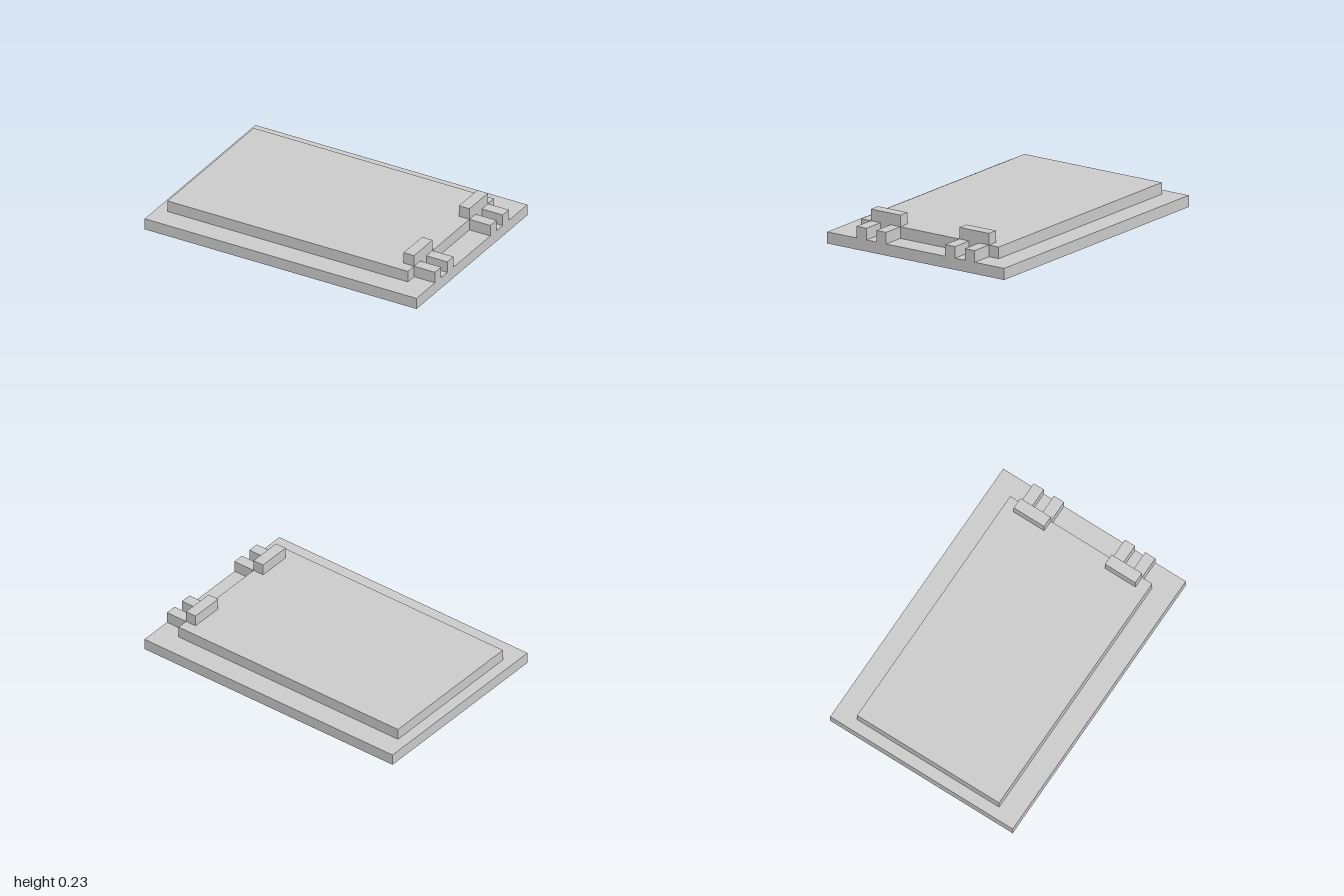
import * as THREE from 'three';

const U = 1 / 13; // one grid unit: the plate is 26 x 18 units

export function createModel() {
  const model = new THREE.Group();
  model.name = 'steppedPlate';
  const material = new THREE.MeshStandardMaterial({ color: 0xcccccc, flatShading: true });

  // Box given by its minimum and maximum corners, in grid units
  function addBox(parent, name, [x0, y0, z0], [x1, y1, z1]) {
    const geometry = new THREE.BoxGeometry((x1 - x0) * U, (y1 - y0) * U, (z1 - z0) * U);
    const mesh = new THREE.Mesh(geometry, material);
    mesh.position.set((x0 + x1) / 2, (y0 + y1) / 2, (z0 + z1) / 2).multiplyScalar(U);
    mesh.name = name;
    parent.add(mesh);
  }

  // Base plate and the raised panel on it
  addBox(model, 'basePlate', [-13, 0, -9], [13, 1, 9]);
  addBox(model, 'raisedPanel', [-12, 1, -7], [11, 2, 7]);

  // Two clips: a crossbar on the panel edge with two prongs reaching the plate edge
  for (const [name, z] of [['frontClip', 3], ['backClip', -6]]) {
    const clip = new THREE.Group();
    clip.name = name;
    addBox(clip, 'crossbar', [10, 2, z], [11, 3, z + 3]);
    for (const offset of [0, 2]) {
      addBox(clip, 'prong', [11, 1, z + offset], [13, 2, z + offset + 1]);
    }
    model.add(clip);
  }

  return model;
}
